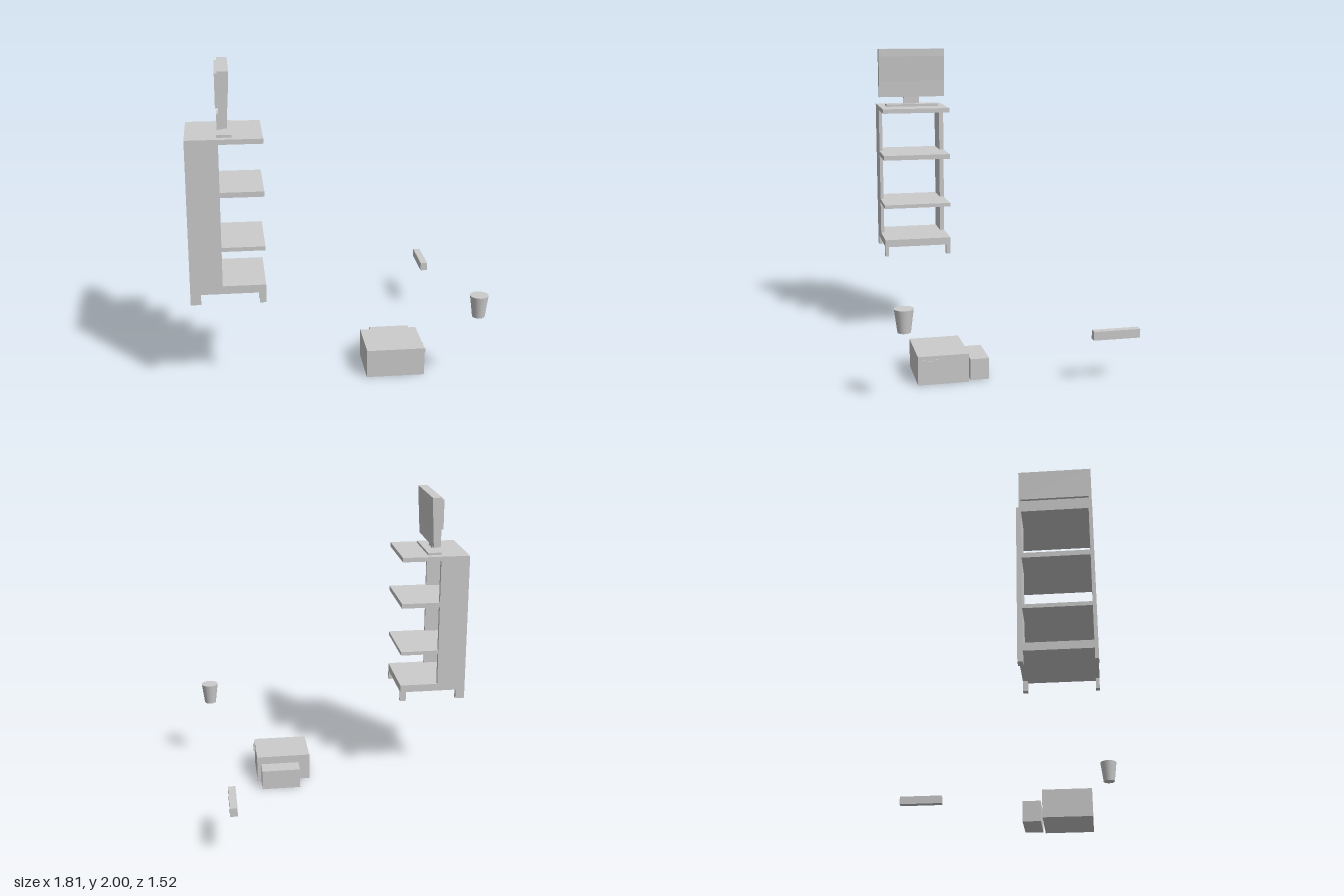
import * as THREE from 'three';

const material = new THREE.MeshStandardMaterial({ color: 0xcccccc, flatShading: true });
const smooth = new THREE.MeshStandardMaterial({ color: 0xcccccc });

// Box given by its limits along each axis
function box(parent, name, [x0, x1], [y0, y1], [z0, z1]) {
  const mesh = new THREE.Mesh(new THREE.BoxGeometry(x1 - x0, y1 - y0, z1 - z0), material);
  mesh.position.set((x0 + x1) / 2, (y0 + y1) / 2, (z0 + z1) / 2);
  mesh.name = name;
  parent.add(mesh);
  return mesh;
}

function group(parent, name) {
  const g = new THREE.Group();
  g.name = name;
  parent.add(g);
  return g;
}

export function createModel() {
  const model = new THREE.Group();
  model.name = 'furnitureSet';

  // Shelf unit: full-depth boards, two partial side panels, four short legs
  const rack = group(model, 'shelfUnit');
  const X = [-0.91, -0.455], Z = [0.196, 0.652];
  const boards = [[0.65, 0.70], [0.92, 0.945], [1.255, 1.287], [1.575, 1.605]];
  boards.forEach((y, i) => box(rack, `shelf${i + 1}`, X, y, Z));
  for (const [side, z] of [['right', [0.196, 0.226]], ['left', [0.63, 0.652]]]) {
    // panels span the gaps between boards
    for (let i = 0; i < boards.length - 1; i++) {
      box(rack, `${side}Panel${i + 1}`, [-0.91, -0.715], [boards[i][1], boards[i + 1][0]], z);
    }
    box(rack, `${side}InnerLeg`, [-0.495, -0.455], [0.585, 0.65], z);
    box(rack, `${side}OuterLeg`, [-0.91, -0.847], [0.585, 0.65], z);
  }

  // Flat screen facing +x, tapering toward its lower edge
  const tv = group(model, 'television');
  box(tv, 'standBase', [-0.725, -0.635], [1.605, 1.621], [0.245, 0.605]);
  box(tv, 'standNeck', [-0.72, -0.69], [1.621, 1.715], [0.372, 0.478]);
  const profile = new THREE.Shape([
    [-0.708, 1.67], [-0.66, 1.67], [-0.656, 1.78], [-0.645, 1.95], [-0.645, 2], [-0.708, 2],
  ].map(([x, y]) => new THREE.Vector2(x, y)));
  const screen = new THREE.Mesh(
    new THREE.ExtrudeGeometry(profile, { depth: 0.456, bevelEnabled: false }), material);
  screen.position.z = 0.197;
  screen.name = 'screen';
  tv.add(screen);
  box(tv, 'rearHousing', [-0.725, -0.708], [1.785, 1.985], [0.21, 0.635]);

  // Large box with a small pull handle on its +x side
  const chest = group(model, 'largeBox');
  box(chest, 'body', [0.175, 0.543], [0.005, 0.187], [0.262, 0.58]);
  for (const z of [0.462, 0.543]) {
    box(chest, 'handlePost', [0.543, 0.555], [0.143, 0.167], [z - 0.007, z + 0.007]);
  }
  box(chest, 'handleBar', [0.549, 0.555], [0.151, 0.159], [0.469, 0.536]);

  // Loose objects
  box(model, 'smallBox', [0.255, 0.517], [0.005, 0.14], [0.13, 0.248]);
  box(model, 'bar', [0.72, 0.767], [0.29, 0.345], [-0.763, -0.468]);

  const cup = new THREE.Mesh(new THREE.CylinderGeometry(0.057, 0.039, 0.14, 32), smooth);
  cup.position.set(0.847, 0.52, 0.7);
  cup.name = 'cup';
  model.add(cup);

  return model;
}
